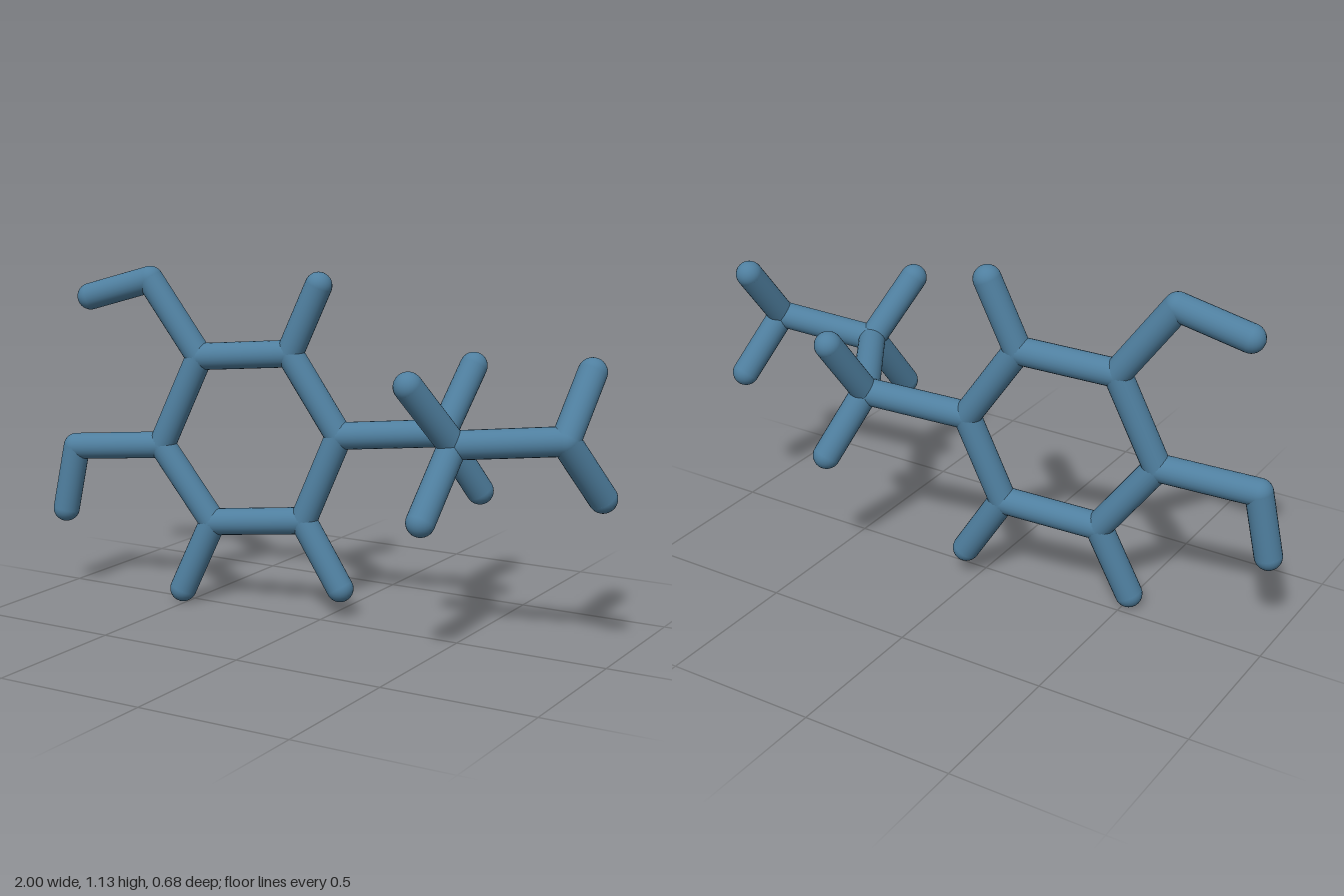
import * as THREE from 'three';

const RADIUS = 0.045;

// Joint positions, grouped by the part of the molecule they belong to
const joints = {
  ring1: [0.02, 0.605, -0.085],
  ring2: [-0.155, 0.865, -0.065],
  ring3: [-0.47, 0.84, -0.003],
  ring4: [-0.60, 0.535, 0.037],
  ring5: [-0.415, 0.285, 0.01],
  ring6: [-0.095, 0.315, -0.05],
  // single stubs on the ring
  upperStub: [-0.06, 1.09, -0.09],
  lowerLeftStub: [-0.515, 0.048, 0.045],
  lowerRightStub: [0.04, 0.10, -0.06],
  // bent arms on the ring
  upperElbow: [-0.65, 1.09, 0.02],
  upperTip: [-0.87, 1.025, 0.06],
  lowerElbow: [-0.915, 0.51, 0.10],
  lowerTip: [-0.955, 0.29, 0.115],
  // zigzag side chain with its prongs
  chain1: [0.36, 0.635, -0.16],
  chain1Up: [0.40, 0.838, -0.295],
  chain1Down: [0.437, 0.433, -0.28],
  chain2: [0.548, 0.665, 0.145],
  chain2Up: [0.47, 0.855, 0.287],
  chain2Down: [0.52, 0.455, 0.295],
  chainEnd: [0.885, 0.70, 0.085],
  chainEndUp: [0.908, 0.888, -0.05],
  chainEndDown: [0.955, 0.512, -0.045],
};

// Each part is a list of bonds between joints
const parts = {
  ring: [['ring1', 'ring2'], ['ring2', 'ring3'], ['ring3', 'ring4'],
    ['ring4', 'ring5'], ['ring5', 'ring6'], ['ring6', 'ring1']],
  ringStubs: [['ring2', 'upperStub'], ['ring5', 'lowerLeftStub'], ['ring6', 'lowerRightStub']],
  upperArm: [['ring3', 'upperElbow'], ['upperElbow', 'upperTip']],
  lowerArm: [['ring4', 'lowerElbow'], ['lowerElbow', 'lowerTip']],
  sideChain: [['ring1', 'chain1'], ['chain1', 'chain2'], ['chain2', 'chainEnd']],
  chainProngs: [['chain1', 'chain1Up'], ['chain1', 'chain1Down'], ['chain2', 'chain2Up'],
    ['chain2', 'chain2Down'], ['chainEnd', 'chainEndUp'], ['chainEnd', 'chainEndDown']],
};

export function createModel() {
  const model = new THREE.Group();
  model.name = 'stickMolecule';
  const material = new THREE.MeshStandardMaterial({ color: 0x4f7f9f });
  const ball = new THREE.SphereGeometry(RADIUS, 24, 16);
  const up = new THREE.Vector3(0, 1, 0);
  const placed = new Set();

  // Rounded joint, added once per position
  function addJoint(group, key) {
    if (placed.has(key)) return;
    placed.add(key);
    const mesh = new THREE.Mesh(ball, material);
    mesh.name = key + 'Joint';
    mesh.position.set(...joints[key]);
    group.add(mesh);
  }

  // Open cylinder running from one joint to another
  function addBond(group, from, to) {
    const a = new THREE.Vector3(...joints[from]);
    const b = new THREE.Vector3(...joints[to]);
    const dir = b.clone().sub(a);
    const rod = new THREE.CylinderGeometry(RADIUS, RADIUS, dir.length(), 24, 1, true);
    const mesh = new THREE.Mesh(rod, material);
    mesh.name = from + 'To' + to[0].toUpperCase() + to.slice(1) + 'Bond';
    mesh.position.copy(a).add(b).multiplyScalar(0.5);
    mesh.quaternion.setFromUnitVectors(up, dir.normalize());
    group.add(mesh);
  }

  for (const [name, bonds] of Object.entries(parts)) {
    const group = new THREE.Group();
    group.name = name;
    for (const [from, to] of bonds) {
      addBond(group, from, to);
      addJoint(group, from);
      addJoint(group, to);
    }
    model.add(group);
  }
  return model;
}
